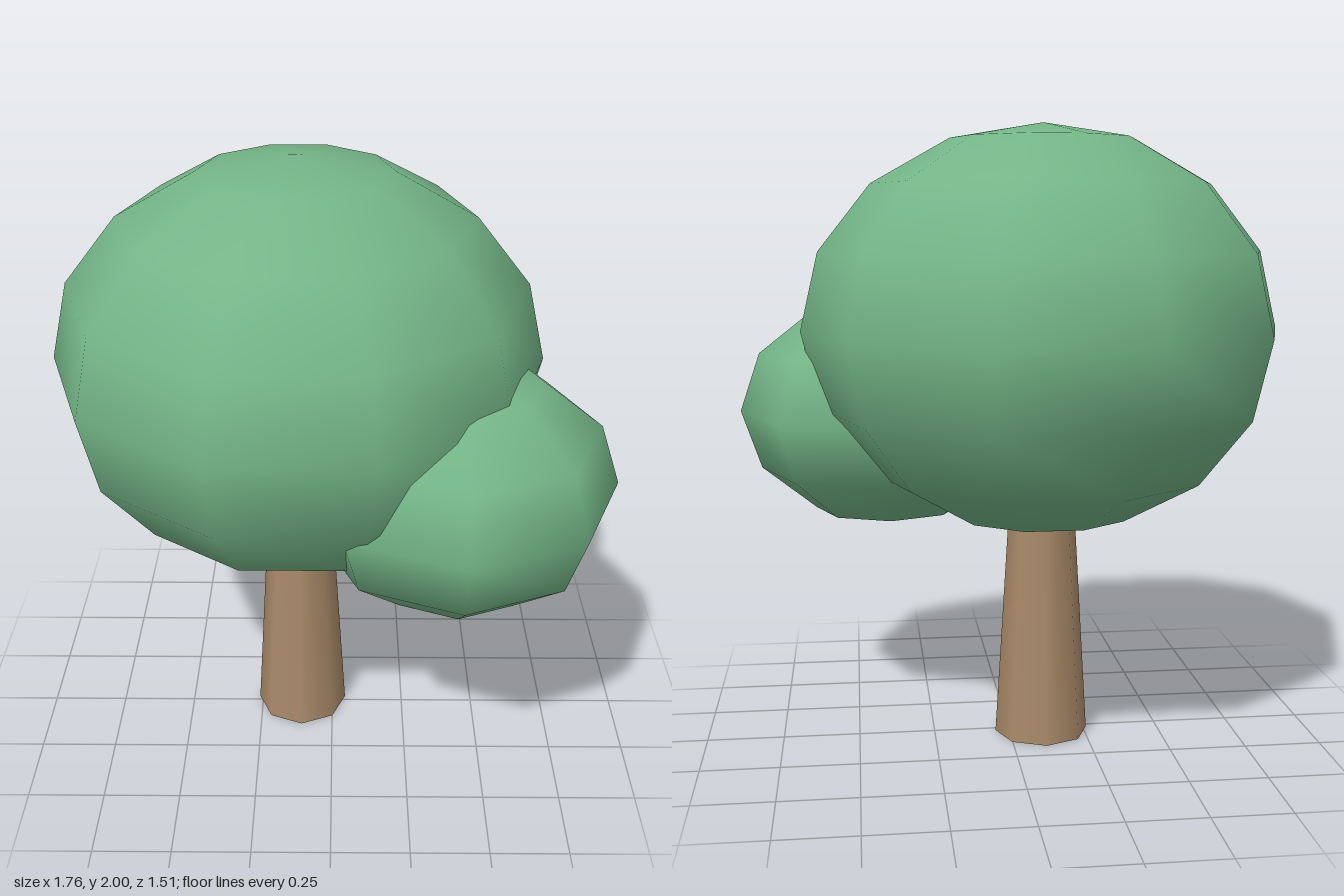
import * as THREE from 'three';

const leafGreen = new THREE.MeshStandardMaterial({ color: 0x74b587 });
leafGreen.name = 'leafGreen';
const barkBrown = new THREE.MeshStandardMaterial({ color: 0xa98a69 });
barkBrown.name = 'barkBrown';

// A smooth, coarse ellipsoid of leaves
function foliage(name, [x, y, z], radius, halfHeight, sides, rings) {
  const geometry = new THREE.SphereGeometry(1, sides, rings);
  geometry.scale(radius, halfHeight, radius);
  const mesh = new THREE.Mesh(geometry, leafGreen);
  mesh.name = name;
  mesh.position.set(x, y, z);
  return mesh;
}

export function createModel() {
  const tree = new THREE.Group();
  tree.name = 'tree';

  // Tapered eight-sided trunk, its top hidden in the crown
  const height = 0.9;
  const trunk = new THREE.Mesh(new THREE.CylinderGeometry(0.1, 0.154, height, 8), barkBrown);
  trunk.name = 'trunk';
  trunk.position.set(-0.108, height / 2, -0.02);
  tree.add(trunk);

  // Main crown and the smaller clump at its front left
  tree.add(foliage('mainCrown', [-0.108, 1.35, -0.02], 0.772, 0.65, 10, 8));
  tree.add(foliage('sideClump', [0.385, 1.06, 0.26], 0.495, 0.39, 8, 6));

  return tree;
}
